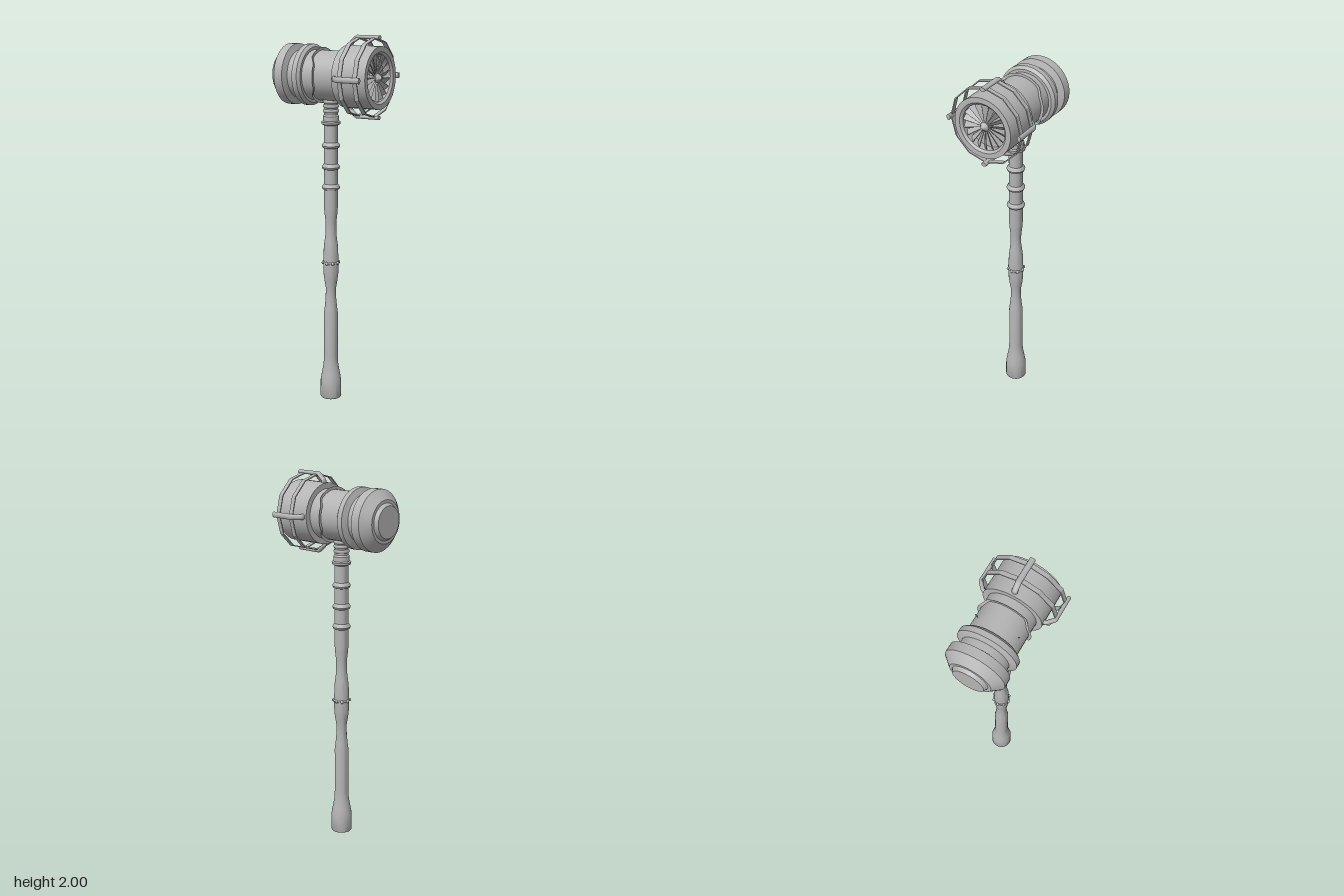
import * as THREE from 'three';
import { toCreasedNormals } from 'three/addons/utils/BufferGeometryUtils.js';

const AXIS_X = 0.004; // handle centre line
const HEAD_Y = 1.788; // height of the head's axis

export function createModel() {
  const metal = new THREE.MeshStandardMaterial({ color: 0xb4b4b4 });
  metal.name = 'grey metal';
  const model = new THREE.Group();
  model.name = 'warHammer';

  const add = (parent, name, geometry) => {
    const mesh = new THREE.Mesh(geometry, metal);
    mesh.name = name;
    parent.add(mesh);
    return mesh;
  };
  const lathe = (points, sides) =>
    new THREE.LatheGeometry(points.map(([r, y]) => new THREE.Vector2(r, y)), sides);
  const crease = (geometry, angle = 0.5) => toCreasedNormals(geometry, angle);
  // Turns an upright lathe so its axis runs along +x
  const alongX = (geometry) => crease(geometry.rotateZ(-Math.PI / 2));

  // ---- Handle ----
  const handle = new THREE.Group();
  handle.name = 'handle';
  handle.position.x = AXIS_X;
  model.add(handle);

  add(handle, 'shaft', crease(lathe([
    [0, 0], [0.054, 0], [0.058, 0.006], [0.057, 0.1], [0.05, 0.14], [0.041, 0.19],
    [0.038, 0.24], [0.038, 0.49], [0.034, 0.52], [0.029, 0.57], [0.028, 0.63],
    [0.035, 0.67], [0.04, 0.71], [0.041, 0.77], [0.039, 0.86], [0.034, 0.9],
    [0.029, 0.94], [0.029, 1.0], [0.035, 1.05], [0.037, 1.08], [0.037, 1.66],
  ], 24), 0.6));

  // Flared collars along the upper shaft
  for (const y of [1.19, 1.3, 1.415]) {
    add(handle, 'collar', crease(lathe([
      [0.035, -0.012], [0.045, -0.008], [0.049, 0.002], [0.047, 0.008], [0.036, 0.022],
    ], 24))).position.y = y;
  }
  add(handle, 'topCollar', crease(lathe([
    [0.034, 1.525], [0.05, 1.533], [0.052, 1.545], [0.043, 1.55], [0.043, 1.575],
    [0.034, 1.588], [0.034, 1.592],
  ], 24)));

  // Ribbed neck under the head
  for (const y of [1.603, 1.628, 1.652]) {
    const rib = add(handle, 'neckRib', new THREE.TorusGeometry(0.032, 0.011, 8, 24));
    rib.rotation.x = Math.PI / 2;
    rib.position.y = y;
  }

  // Studded grip band
  const band = add(handle, 'gripBand', new THREE.TorusGeometry(0.04, 0.006, 8, 24));
  band.rotation.x = Math.PI / 2;
  band.position.y = 0.775;
  for (let i = 0; i < 8; i++) {
    const a = (i * Math.PI) / 4;
    add(handle, 'stud', new THREE.SphereGeometry(0.009, 10, 8))
      .position.set(Math.cos(a) * 0.043, 0.775, Math.sin(a) * 0.043);
  }

  // ---- Head ----
  const head = new THREE.Group();
  head.name = 'head';
  head.position.y = HEAD_Y;
  model.add(head);

  add(head, 'strikingEnd', alongX(lathe([
    [0, -0.312], [0.084, -0.312], [0.096, -0.293], [0.112, -0.293], [0.162, -0.249],
    [0.162, -0.2], [0.128, -0.188], [0.128, -0.15], [0.162, -0.137], [0.162, -0.108],
    [0.147, -0.094], [0.132, -0.094],
  ], 40)));
  add(head, 'core', alongX(lathe([[0.132, -0.1], [0.132, 0.11]], 40)));

  // Sleeves either side of the core; their inner edge steps back above and below
  const sleeve = (name, side, outerEnd) => {
    const points = [[0.147, outerEnd], [0.147, AXIS_X], [0.132, AXIS_X]];
    const geometry = lathe(side < 0 ? points : points.reverse(), 72);
    const p = geometry.attributes.position;
    for (let i = 0; i < p.count; i++) {
      if (p.getY(i) === outerEnd) continue;
      const sideways = Math.abs(p.getZ(i)) / Math.hypot(p.getX(i), p.getZ(i));
      const t = THREE.MathUtils.clamp((sideways - 0.73) / 0.17, 0, 1);
      p.setY(i, AXIS_X + side * THREE.MathUtils.lerp(0.05, 0.025, t));
    }
    add(head, name, alongX(geometry));
  };
  sleeve('rearSleeve', -1, -0.094);
  sleeve('turbineSleeve', 1, 0.106);

  // Open turbine housing with a recessed floor
  add(head, 'turbineHousing', alongX(lathe([
    [0.132, 0.105], [0.162, 0.105], [0.162, 0.303], [0.134, 0.303], [0.122, 0.292],
    [0.122, 0.25], [0, 0.25],
  ], 40)));
  add(head, 'turbineHub', alongX(lathe([
    [0.026, 0.25], [0.024, 0.285], [0.01, 0.302], [0.007, 0.311], [0, 0.312],
  ], 20)));

  // Pitched, tapering blades
  const bladeGeometry = new THREE.BoxGeometry(0.004, 0.106, 0.036);
  const bp = bladeGeometry.attributes.position;
  for (let i = 0; i < bp.count; i++) {
    if (bp.getY(i) < 0) bp.setZ(i, bp.getZ(i) * 0.3);
  }
  bladeGeometry.translate(0, 0.07, 0).rotateY(0.75);
  bladeGeometry.computeVertexNormals();
  for (let i = 0; i < 18; i++) {
    const blade = add(head, 'turbineBlade', bladeGeometry);
    blade.position.x = 0.276;
    blade.rotation.x = (i * Math.PI) / 9;
  }

  // ---- Cage around the turbine ----
  const cage = new THREE.Group();
  cage.name = 'cage';
  head.add(cage);
  const rodPath = new THREE.CurvePath();
  const corners = [[0.126, 0.15], [0.126, 0.172], [0.162, 0.205], [0.297, 0.205]]
    .map(([x, y]) => new THREE.Vector3(x, y, 0));
  for (let i = 0; i < 3; i++) rodPath.add(new THREE.LineCurve3(corners[i], corners[i + 1]));
  const rodGeometry = new THREE.TubeGeometry(rodPath, 40, 0.0105, 12).scale(1, 1, 1.45);
  const rodCap = new THREE.CircleGeometry(0.0105, 12).rotateY(Math.PI / 2).scale(1, 1, 1.45);
  for (let i = 0; i < 4; i++) {
    const rod = add(cage, 'cageRod', rodGeometry);
    rod.rotation.x = (i * Math.PI) / 2;
    add(rod, 'cageRodEnd', rodCap).position.set(0.297, 0.205, 0);
  }
  for (const x of [0.164, 0.254]) {
    add(cage, 'cageHoop', alongX(lathe([
      [0.199, x], [0.205, x], [0.205, x + 0.024], [0.199, x + 0.024], [0.199, x],
    ], 12)));
  }

  return model;
}
